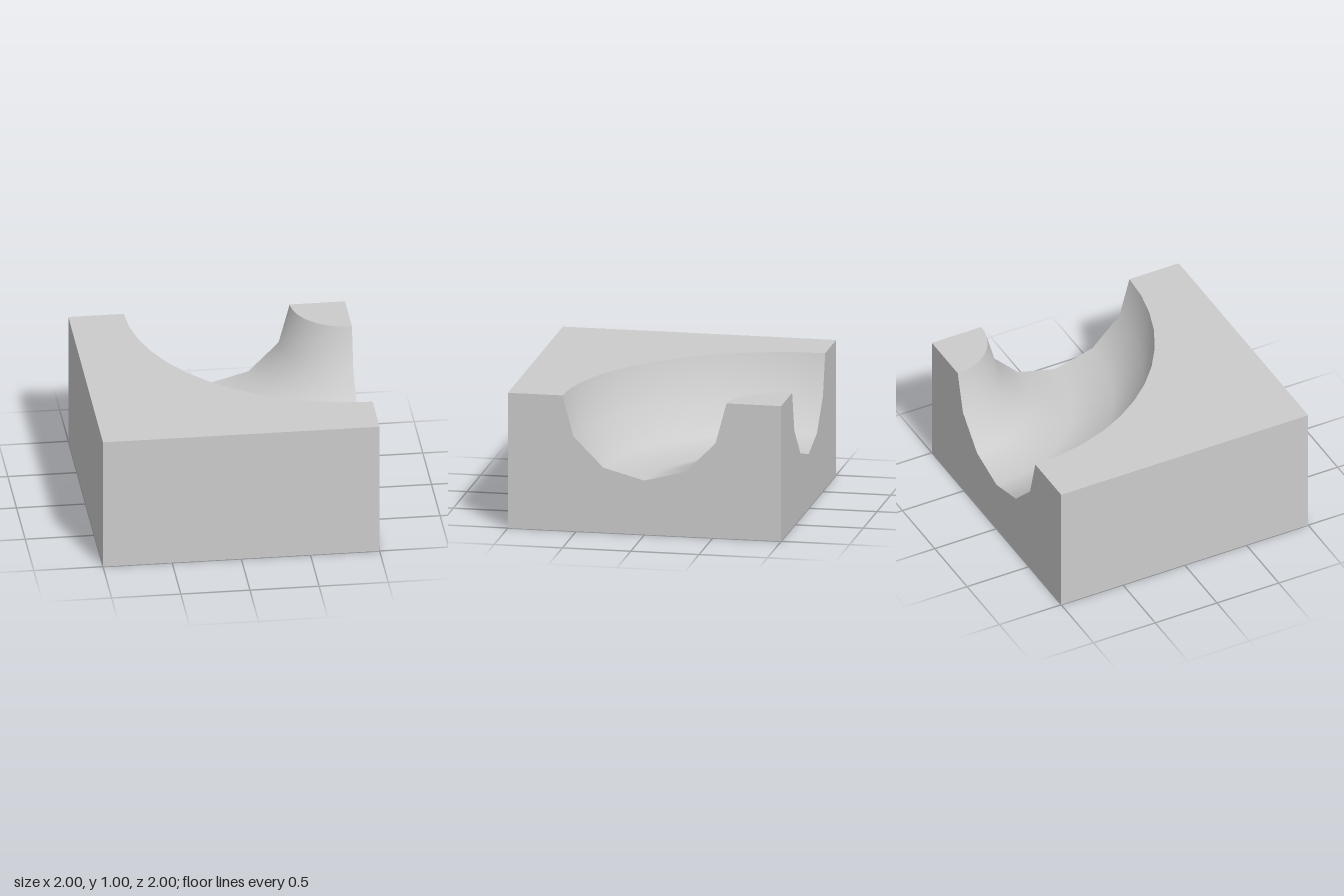
import * as THREE from 'three';

const R = 1, r = 0.6;            // groove bend radius and tube radius
const ARC = 12, SIDES = 6;       // steps along the bend and across the groove

export function createModel() {
  const group = new THREE.Group();
  const material = new THREE.MeshStandardMaterial({ color: 0xcccccc });
  const add = (name, geometry, position, rotation = [0, 0, 0]) => {
    const mesh = new THREE.Mesh(geometry, material);
    mesh.name = name;
    mesh.position.set(...position);
    mesh.rotation.set(...rotation);
    group.add(mesh);
  };
  const H = Math.PI / 2;

  // Half-round channel section, from the outer lip down and up to the inner lip
  const section = [];
  for (let i = 0; i <= SIDES; i++) {
    const a = Math.PI * i / SIDES;
    section.push(new THREE.Vector2(r * Math.cos(a), 1 - r * Math.sin(a)));
  }

  // Curved channel, a quarter turn around the back left corner
  const profile = section.map(p => new THREE.Vector2(p.x + R, p.y));
  add('channel', new THREE.LatheGeometry(profile, ARC, 3 * H, H), [1, 0, -1]);

  // The two walls the channel opens through
  const wall = new THREE.ShapeGeometry(new THREE.Shape([
    new THREE.Vector2(-1, 0), new THREE.Vector2(1, 0), new THREE.Vector2(1, 1),
    ...section, new THREE.Vector2(-1, 1),
  ]));
  add('leftOpenWall', wall, [1, 0, 0], [0, H, 0]);
  add('backOpenWall', wall, [0, 0, -1], [0, Math.PI, 0]);

  // Plain walls and base
  const plain = new THREE.PlaneGeometry(2, 1);
  add('frontWall', plain, [0, 0.5, 1]);
  add('rightWall', plain, [-1, 0.5, 0], [0, -H, 0]);
  add('base', new THREE.PlaneGeometry(2, 2), [0, 0, 0], [H, 0, 0]);

  // Top surface on either side of the channel (shape y becomes -z)
  const lip = radius => Array.from({ length: ARC + 1 }, (_, i) => {
    const a = H * i / ARC;
    return new THREE.Vector2(1 - radius * Math.sin(a), 1 - radius * Math.cos(a));
  });
  const addTop = (name, points) =>
    add(name, new THREE.ShapeGeometry(new THREE.Shape(points)), [0, 1, 0], [-H, 0, 0]);
  addTop('outerTop', [
    new THREE.Vector2(-1, 1), new THREE.Vector2(-1, -1), new THREE.Vector2(1, -1), ...lip(R + r),
  ]);
  addTop('innerTop', [new THREE.Vector2(1, 1), ...lip(R - r)]);

  return group;
}
